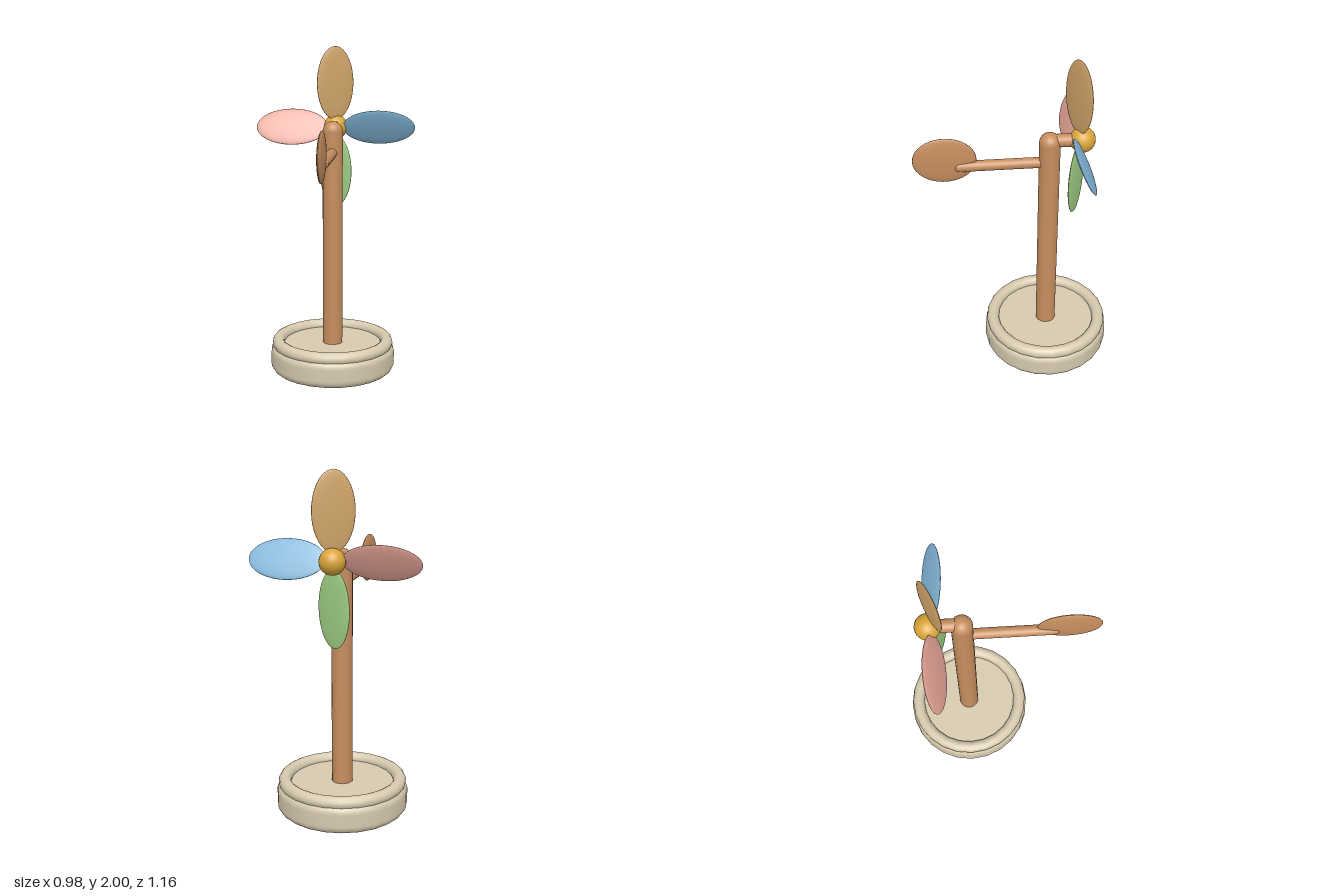
import * as THREE from 'three';

const mat = (name, color) => {
  const m = new THREE.MeshStandardMaterial({ color });
  m.name = name;
  return m;
};

export function createModel() {
  const model = new THREE.Group();
  const stone = mat('stone', 0xd6c9ae);
  const wood = mat('wood', 0xc68e5f);
  const gold = mat('gold', 0xdaa53a);
  const tan = mat('tan', 0xd0a469);
  const blue = mat('blue', 0x82b6d9);
  const green = mat('green', 0xa0cf85);
  const pink = mat('pink', 0xe6a598);
  const postZ = -0.195;
  const hubY = 1.51;

  const add = (parent, name, geometry, material, x = 0, y = 0, z = 0) => {
    const mesh = new THREE.Mesh(geometry, material);
    mesh.name = name;
    mesh.position.set(x, y, z);
    parent.add(mesh);
    return mesh;
  };
  // round-ended rod lying along z
  const rodZ = (radius, z0, z1) =>
    new THREE.CapsuleGeometry(radius, z1 - z0 - 2 * radius, 8, 20).rotateX(Math.PI / 2);
  const ellipsoid = (a, b, c) => new THREE.SphereGeometry(1, 32, 20).scale(a, b, c);

  // base drum with rounded edges
  const profile = [new THREE.Vector2(0, 0.005)];
  const corner = (cx, cy, r, from) => {
    for (let i = 0; i <= 6; i++) {
      const t = from + (i / 6) * (Math.PI / 2);
      profile.push(new THREE.Vector2(cx + r * Math.cos(t), cy + r * Math.sin(t)));
    }
  };
  corner(0.335, 0.055, 0.05, -Math.PI / 2);
  corner(0.335, 0.128, 0.05, 0);
  profile.push(new THREE.Vector2(0, 0.178));
  add(model, 'base', new THREE.LatheGeometry(profile, 24), stone, 0, 0, postZ);

  // raised rim around the base top
  add(model, 'baseRim', new THREE.TorusGeometry(0.338, 0.038, 14, 24).rotateX(Math.PI / 2),
    stone, 0, 0.184, postZ);

  // post with domed top
  add(model, 'post', new THREE.CapsuleGeometry(0.061, 1.34, 8, 20), wood, 0, 0.828, postZ);

  // axle and hub at the back
  add(model, 'axle', rodZ(0.038, -0.40, -0.15), wood, 0, hubY, -0.275);
  add(model, 'hub', new THREE.SphereGeometry(0.074, 24, 16), gold, 0, hubY, -0.378);

  // four pitched blades
  [['topBlade', tan], ['leftBlade', blue], ['bottomBlade', green], ['rightBlade', pink]]
    .forEach(([name, material], i) => {
      const arm = new THREE.Group();
      arm.name = name + 'Arm';
      arm.position.set(0, hubY, -0.35);
      arm.rotation.z = -i * Math.PI / 2;
      add(arm, name, ellipsoid(0.121, 0.222, 0.015), material, 0, 0.268, 0).rotation.y = 0.5;
      model.add(arm);
    });

  // tail rod and vane at the front
  add(model, 'tailRod', rodZ(0.031, -0.195, 0.345), wood, 0, 1.37, 0.075);
  add(model, 'tailVane', ellipsoid(0.02, 0.143, 0.18), wood, 0, 1.415, 0.397);

  return model;
}
